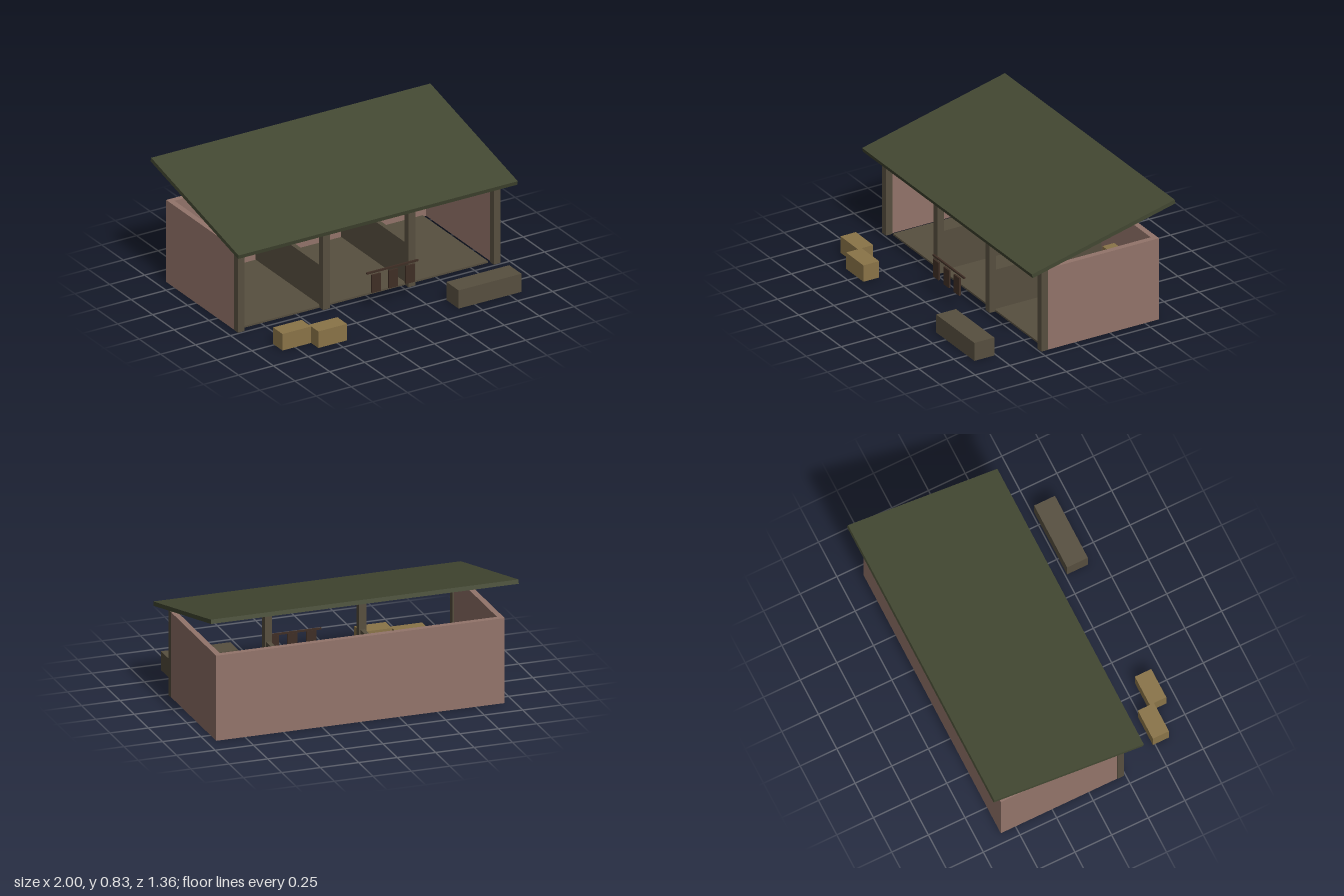
import * as THREE from 'three';

const material = (name, color) => {
  const m = new THREE.MeshStandardMaterial({ color });
  m.name = name;
  return m;
};

export function createModel() {
  const group = new THREE.Group();
  const clay = material('clay pink', 0x93746a);
  const timber = material('timber brown', 0x574f3f);
  const green = material('roof green', 0x434832);
  const straw = material('straw', 0x8a7448);
  const leather = material('dark leather', 0x3f2e25);

  // Box given by its lower and upper corners
  const box = (name, mat, [x0, y0, z0], [x1, y1, z1]) => {
    const mesh = new THREE.Mesh(new THREE.BoxGeometry(x1 - x0, y1 - y0, z1 - z0), mat);
    mesh.position.set((x0 + x1) / 2, (y0 + y1) / 2, (z0 + z1) / 2);
    mesh.name = name;
    group.add(mesh);
    return mesh;
  };

  // Floor and walls
  box('floor', timber, [-0.875, 0, -0.56], [0.875, 0.012, 0.2]);
  box('backWall', clay, [-0.938, 0, -0.6], [0.938, 0.555, -0.563]);
  box('leftWall', clay, [0.901, 0, -0.563], [0.938, 0.555, 0.195]);
  box('rightWall', clay, [-0.938, 0, -0.563], [-0.901, 0.555, 0.195]);

  // Front posts
  for (const x of [-0.916, -0.306, 0.306, 0.916]) {
    box('post', timber, [x - 0.024, 0, 0.194], [x + 0.024, 0.557, 0.24]);
  }

  // Low stall partitions
  for (const x of [-0.306, 0.306]) {
    box('partition', timber, [x - 0.015, 0.012, -0.563], [x + 0.015, 0.28, 0.194]);
  }

  // Hay feeders against the back wall
  for (const x of [-0.612, 0, 0.612]) {
    box('hayFeeder', straw, [x - 0.141, 0.207, -0.563], [x + 0.141, 0.33, -0.48]);
  }

  // Single-pitch roof, rising to the back
  const roof = box('roof', green, [-1, 0, -0.524], [1, 0.027, 0.524]);
  roof.position.set(0, 0.69, -0.168);
  roof.rotation.x = Math.atan2(0.245, 1.019);

  // Tack rail with hanging pieces
  box('tackRail', leather, [-0.104, 0.242, 0.374], [0.264, 0.253, 0.386]);
  for (const x of [-0.045, 0.078, 0.2]) {
    box('hangingTack', leather, [x - 0.032, 0.116, 0.386], [x + 0.032, 0.236, 0.398]);
  }

  // Straw bales and trough in the yard
  box('strawBale', straw, [-0.84, 0, 0.486], [-0.635, 0.112, 0.596]);
  box('strawBale', straw, [-0.635, 0, 0.568], [-0.43, 0.112, 0.68]);
  box('trough', timber, [0.385, 0, 0.513], [0.835, 0.123, 0.655]);

  return group;
}
